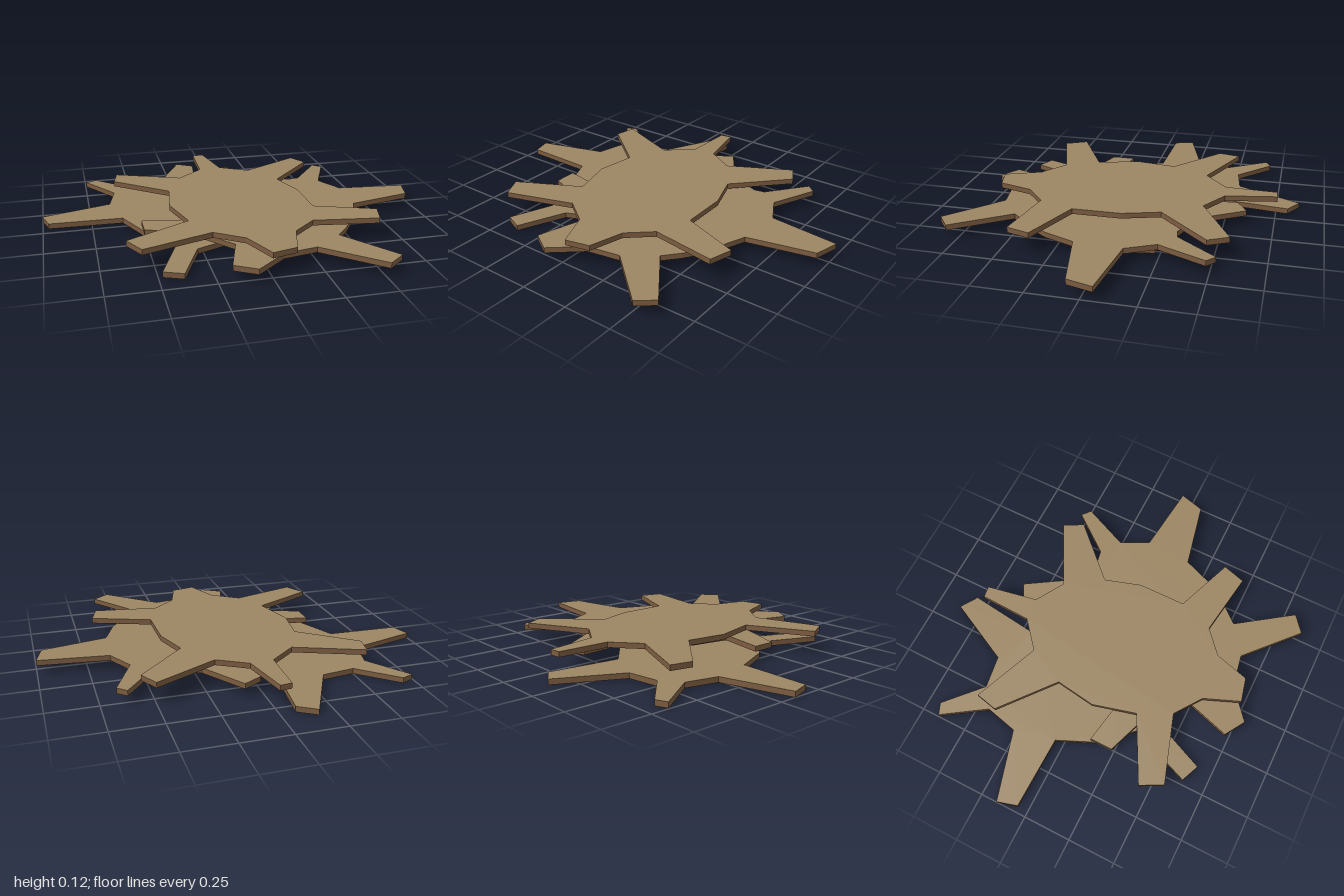
import * as THREE from 'three';

const THICKNESS = 0.028;

// Outlines as [x, z] pairs, each with six tapering arms
const lowerOutline = [
  [-1.0, -0.16], [-0.64, -0.265], [-0.6, -0.435], [-0.745, -0.655], [-0.685, -0.68],
  [-0.5, -0.51], [-0.33, -0.535], [-0.165, -0.868], [-0.075, -0.81], [-0.12, -0.44],
  [0.05, -0.3], [0.19, -0.13], [0.52, -0.225], [0.54, -0.105], [0.26, 0.02],
  [0.225, 0.23], [0.283, 0.425], [0.19, 0.505], [-0.12, 0.36], [-0.28, 0.425],
  [-0.385, 0.67], [-0.48, 0.63], [-0.355, 0.31], [-0.5, 0.16], [-0.59, -0.045], [-0.97, -0.055],
];

const middleOutline = [
  [1.0, -0.06], [0.965, 0.07], [0.625, 0.145], [0.565, 0.3], [0.47, 0.44], [0.4, 0.52],
  [0.6, 0.8], [0.515, 0.868], [0.25, 0.63], [0.08, 0.66], [-0.075, 0.79], [-0.18, 0.725],
  [-0.115, 0.51], [-0.26, 0.33], [-0.51, 0.24], [-0.51, 0.12], [-0.26, 0.165],
  [-0.22, -0.04], [-0.1, -0.22], [0.02, -0.33], [0.0, -0.555], [0.095, -0.61],
  [0.24, -0.38], [0.41, -0.31], [0.465, -0.32], [0.625, -0.525], [0.67, -0.485],
  [0.565, -0.245], [0.64, -0.1],
];

const upperOutline = [
  [-0.575, -0.5], [-0.23, -0.36], [-0.09, -0.48], [-0.08, -0.75], [-0.02, -0.757],
  [0.03, -0.49], [0.18, -0.4], [0.5, -0.57], [0.553, -0.47], [0.303, -0.21],
  [0.363, -0.02], [0.365, 0.23], [0.67, 0.345], [0.635, 0.465], [0.3, 0.415],
  [0.18, 0.52], [0.13, 0.7], [0.005, 0.73], [-0.07, 0.545], [-0.21, 0.445],
  [-0.56, 0.56], [-0.62, 0.445], [-0.295, 0.275], [-0.355, 0.05], [-0.325, -0.16], [-0.6, -0.385],
];

export function createModel() {
  const group = new THREE.Group();
  group.name = 'stackedSplats';

  const tan = new THREE.MeshStandardMaterial({ color: 0x9b8562 });
  tan.name = 'tanFace';
  const brown = new THREE.MeshStandardMaterial({ color: 0x7c5c40 });
  brown.name = 'brownEdge';

  // Flat plate with tan faces and a brown rim
  const addPlate = (name, outline, y) => {
    const shape = new THREE.Shape(outline.map(([x, z]) => new THREE.Vector2(x, -z)));
    const geometry = new THREE.ExtrudeGeometry(shape, { depth: THICKNESS, bevelEnabled: false });
    geometry.rotateX(-Math.PI / 2);
    const plate = new THREE.Mesh(geometry, [tan, brown]);
    plate.name = name;
    plate.position.y = y;
    group.add(plate);
  };

  addPlate('lowerSplat', lowerOutline, 0);
  addPlate('middleSplat', middleOutline, 0.044);
  addPlate('upperSplat', upperOutline, 0.087);

  return group;
}
